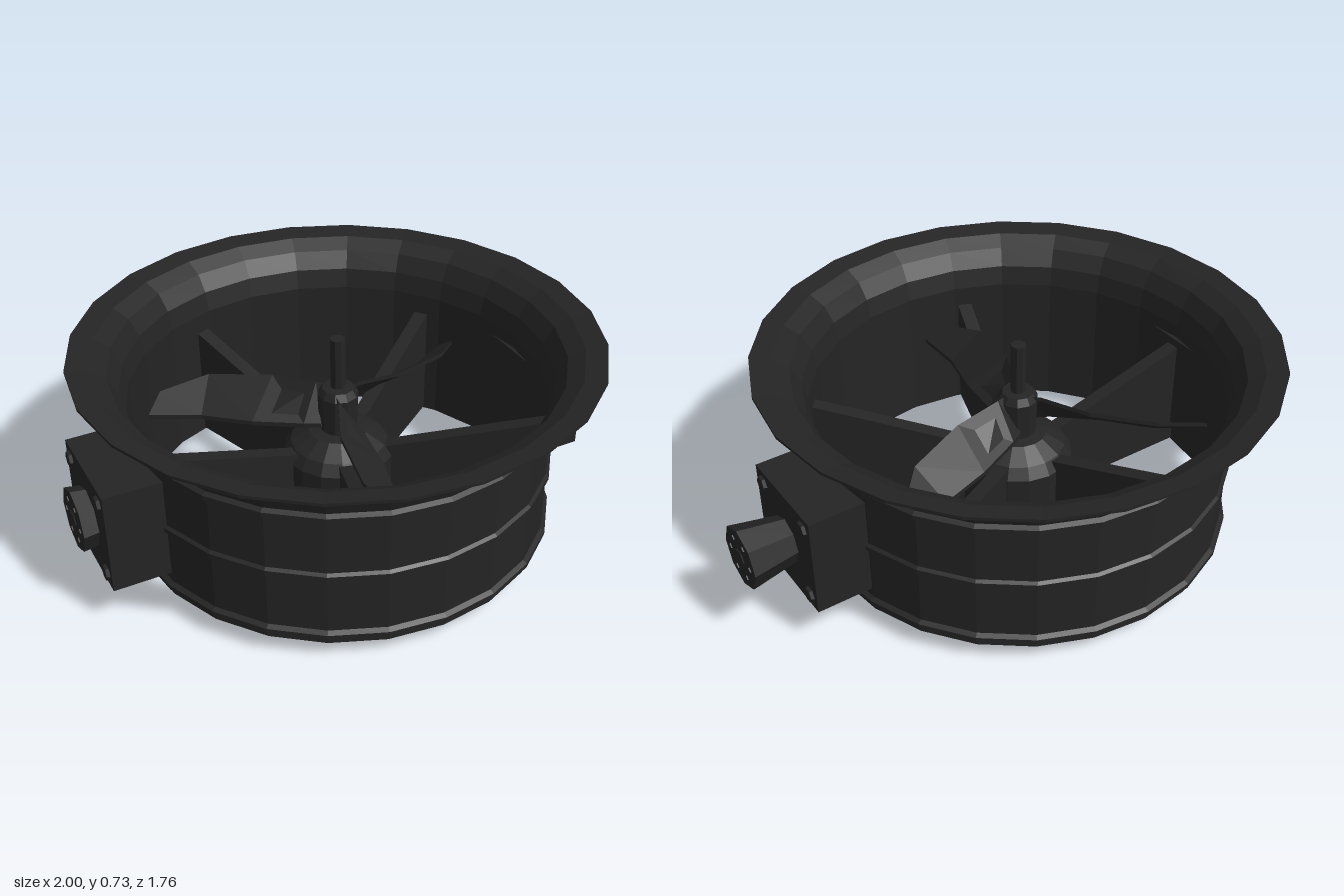
import * as THREE from 'three';

const mat = new THREE.MeshStandardMaterial({ color: 0x242424, flatShading: true, side: THREE.DoubleSide });

function add(parent, name, geo, x = 0, y = 0, z = 0) {
  const m = new THREE.Mesh(geo, mat);
  m.name = name;
  m.position.set(x, y, z);
  parent.add(m);
  return m;
}

const lathe = (pts, sides) => new THREE.LatheGeometry(pts.map(p => new THREE.Vector2(...p)), sides);

// Cylinder lying along +x, radius r0 at its inner end and r1 at its outer end
const axle = (r0, r1, len, sides) =>
  new THREE.CylinderGeometry(r1, r0, len, sides).rotateZ(-Math.PI / 2);

// Pitched blade: four-cornered sections [leadX, leadY, leadZ, trailX, trailY, trailZ]
function bladeGeometry() {
  const sections = [
    [0.03, 0.41, -0.06, 0.03, 0.53, 0.01],
    [0.08, 0.41, -0.09, 0.085, 0.53, -0.005],
    [0.245, 0.40, -0.16, 0.255, 0.51, -0.02],
    [0.425, 0.39, -0.21, 0.47, 0.485, -0.10],
    [0.585, 0.385, -0.30, 0.59, 0.44, -0.225],
  ];
  const pos = [], idx = [], t = 0.008;
  sections.forEach(([lx, ly, lz, tx, ty, tz]) =>
    pos.push(lx, ly - t, lz, lx, ly + t, lz, tx, ty + t, tz, tx, ty - t, tz));
  for (let i = 0; i < sections.length - 1; i++) {
    for (let j = 0; j < 4; j++) {
      const a = i * 4 + j, b = i * 4 + (j + 1) % 4;
      idx.push(a, b, b + 4, a, b + 4, a + 4);
    }
  }
  const e = (sections.length - 1) * 4;
  idx.push(e, e + 1, e + 2, e, e + 2, e + 3);
  const g = new THREE.BufferGeometry();
  g.setAttribute('position', new THREE.Float32BufferAttribute(pos, 3));
  g.setIndex(idx);
  g.computeVertexNormals();
  return g;
}

// Side mount built towards +x, with a knob of the given length
function sideMount(name, knobLength, r0, r1) {
  const g = new THREE.Group();
  g.name = name;
  const cy = 0.325, face = 0.89;
  add(g, 'mountBlock', new THREE.BoxGeometry(0.2, 0.36, 0.36), face - 0.1, cy, 0);
  for (const sy of [-1, 1]) for (const sz of [-1, 1])
    add(g, 'mountBolt', axle(0.03, 0.025, 0.014, 6), face + 0.004, cy + sy * 0.135, sz * 0.135);
  add(g, 'knob', axle(r0, r1, knobLength, 8), face + knobLength / 2, cy, 0);
  const end = face + knobLength;
  add(g, 'knobCentre', axle(0.035, 0.03, 0.008, 6), end, cy, 0);
  for (let i = 0; i < 6; i++) {
    const a = i * Math.PI / 3;
    add(g, 'knobStud', axle(0.013, 0.01, 0.008, 4), end, cy + 0.068 * Math.sin(a), 0.068 * Math.cos(a));
  }
  return g;
}

export function createModel() {
  const root = new THREE.Group();
  root.name = 'ductedFan';
  const fan = new THREE.Group();
  fan.name = 'fanAssembly';
  fan.position.x = -0.055;
  root.add(fan);

  // Duct wall with its flared intake lip
  add(fan, 'duct', lathe([
    [0.705, 0.06], [0.72, 0.06], [0.72, 0.56], [0.735, 0.605], [0.765, 0.66], [0.815, 0.695],
    [0.882, 0.715], [0.882, 0.725], [0.81, 0.712], [0.755, 0.68], [0.72, 0.62], [0.705, 0.55], [0.705, 0.06],
  ], 24));

  // Raised hoops around the duct
  for (const [y, r] of [[0.095, 0.735], [0.325, 0.73], [0.55, 0.737]])
    add(fan, 'hoop', lathe([[0.715, y - 0.02], [r, y - 0.008], [r, y + 0.008], [0.715, y + 0.02]], 24));

  // Motor body and tapered cap
  add(fan, 'motor', lathe([
    [0, 0.03], [0.185, 0.03], [0.19, 0.05], [0.19, 0.3], [0.165, 0.34], [0.1, 0.38], [0.06, 0.385], [0.06, 0.42], [0, 0.42],
  ], 16));

  // Cooling fins and bolts under the motor
  for (let i = -5; i <= 5; i++) {
    const z = i * 0.034;
    add(fan, 'coolingFin', new THREE.BoxGeometry(2 * Math.sqrt(0.19 ** 2 - z * z), 0.045, 0.014), 0, 0.0225, z);
  }
  for (let i = 0; i < 4; i++) {
    const a = Math.PI / 4 + i * Math.PI / 2;
    add(fan, 'motorBolt', new THREE.CylinderGeometry(0.022, 0.022, 0.035, 6),
      0.085 * Math.cos(a), 0.0185, 0.085 * Math.sin(a));
  }
  add(fan, 'motorBolt', new THREE.CylinderGeometry(0.03, 0.03, 0.035, 6), 0, 0.0185, 0);

  // Five straightening vanes, taller towards the wall
  const vaneShape = new THREE.Shape([[0.15, 0.065], [0.705, 0.065], [0.705, 0.48], [0.15, 0.33]]
    .map(p => new THREE.Vector2(...p)));
  const vaneGeo = new THREE.ExtrudeGeometry(vaneShape, { depth: 0.05, bevelEnabled: false }).translate(0, 0, -0.025);
  for (let i = 0; i < 5; i++)
    add(fan, 'vane', vaneGeo, 0, 0, 0).rotation.y = Math.PI + i * Math.PI * 2 / 5;

  // Rotor: hub, shaft and three blades
  const rotor = new THREE.Group();
  rotor.name = 'rotor';
  fan.add(rotor);
  add(rotor, 'rotorHub', lathe([[0, 0.39], [0.065, 0.39], [0.07, 0.52], [0.055, 0.545], [0, 0.55]], 10));
  add(rotor, 'shaft', new THREE.CylinderGeometry(0.026, 0.026, 0.19, 8), 0, 0.635, 0);
  const bladeGeo = bladeGeometry();
  for (let i = 0; i < 3; i++)
    add(rotor, 'blade', bladeGeo).rotation.y = i * Math.PI * 2 / 3;

  // Side mounts: long knob on +x, short knob on -x
  fan.add(sideMount('leftMount', 0.161, 0.08, 0.108));
  const right = sideMount('rightMount', 0.051, 0.1, 0.108);
  right.rotation.y = Math.PI;
  fan.add(right);
  return root;
}
